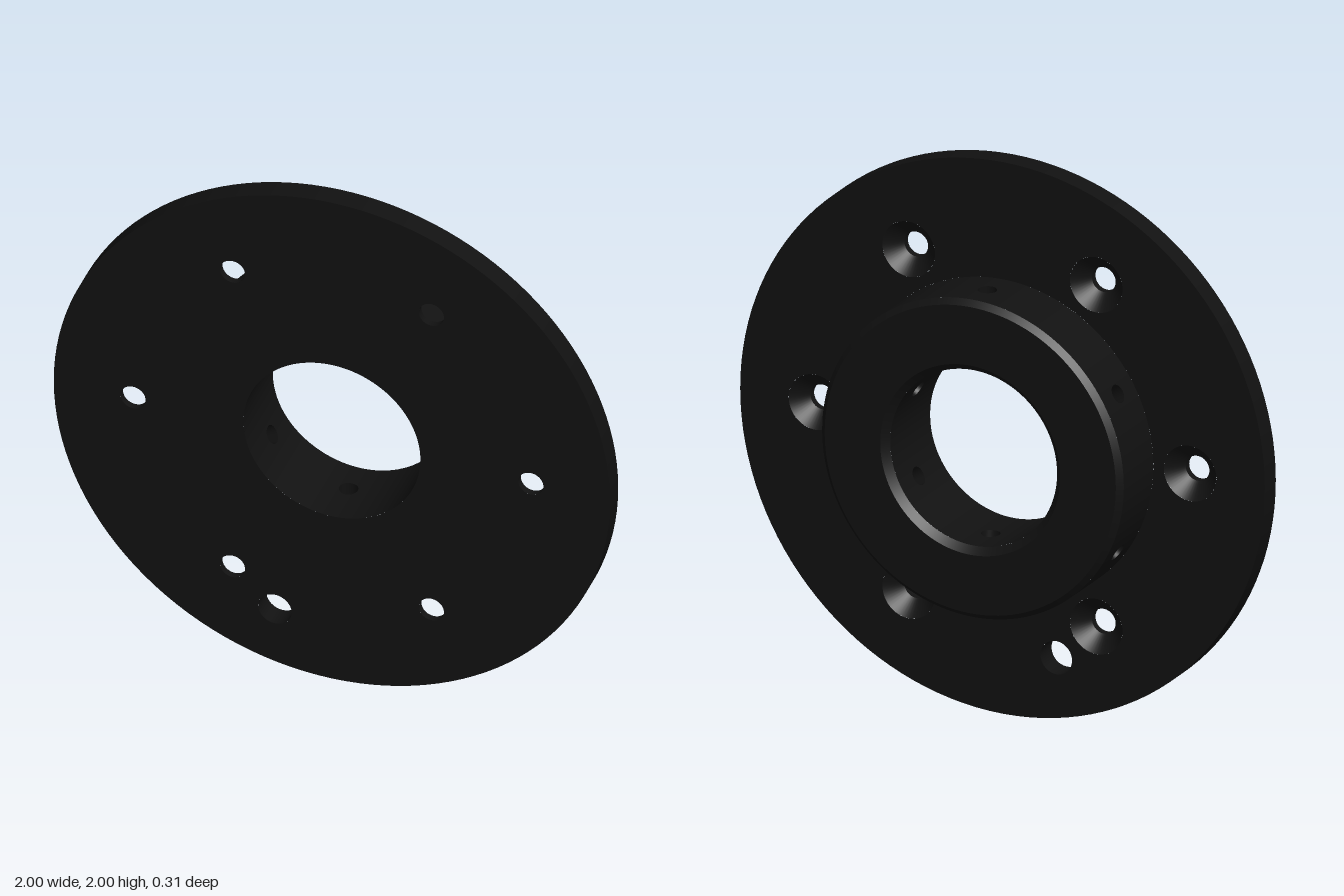
import * as THREE from 'three';
import { ParametricGeometry } from 'three/addons/geometries/ParametricGeometry.js';

const FRONT = 0.16, STEP = 0.08, BACK = -0.155;   // z levels of plate front, plate back, hub back
const PLATE_R = 1, HUB_R = 0.575, BORE_R = 0.318;
const BOLT_CIRCLE = 0.715, BOLT_R = 0.045, SINK_R = 0.1;
const PIN = { x: -0.205, y: -0.76, r: 0.06 };
const SCREW_R = 0.033, SCREW_Z_OUT = -0.03, SCREW_Z_IN = -0.005;
const CHAMFER = 0.02, BORE_CHAMFER = 0.025;

const material = new THREE.MeshStandardMaterial({ color: 0x111111 });

function add(parent, name, geometry, x = 0, y = 0) {
  const mesh = new THREE.Mesh(geometry, material);
  mesh.name = name;
  mesh.position.set(x, y, 0);
  parent.add(mesh);
  return mesh;
}

// Ring-shaped strip around the z axis between two (radius, z) points
function band(r0, z0, r1, z1, segments = 128) {
  const points = [new THREE.Vector2(r0, z0), new THREE.Vector2(r1, z1)];
  return new THREE.LatheGeometry(points, segments).rotateX(Math.PI / 2);
}

const boltAngles = Array.from({ length: 6 }, (_, i) => i * Math.PI / 3);
const screwAngles = boltAngles.map(a => a + Math.PI / 6);

// Flat face of the plate with its centre opening, bolt holes and pin hole
function plateFace(innerR, holeR, pinX) {
  const shape = new THREE.Shape().absarc(0, 0, PLATE_R, 0, Math.PI * 2);
  const hole = (x, y, r) =>
    shape.holes.push(new THREE.Path().absarc(x, y, r, 0, Math.PI * 2, true));
  hole(0, 0, innerR);
  for (const a of boltAngles) hole(BOLT_CIRCLE * Math.cos(a), BOLT_CIRCLE * Math.sin(a), holeR);
  hole(pinX, PIN.y, PIN.r);
  return new THREE.ShapeGeometry(shape, 64);
}

// Point on the rim of a screw hole, as angle offset and z on a cylinder
function screwRim(R, zc, t) {
  return [Math.asin(SCREW_R * Math.cos(t) / R), zc + SCREW_R * Math.sin(t)];
}

function onCylinder(target, R, angle, z) {
  return target.set(R * Math.cos(angle), R * Math.sin(angle), z);
}

// One sixth of a cylinder wall, pierced by a screw hole
function wallSector(R, zc, z0, z1, centre, outward) {
  return new ParametricGeometry((u, v, target) => {
    const t = (outward ? -u : u) * Math.PI * 2;
    const c = Math.cos(t), s = Math.sin(t), m = Math.max(Math.abs(c), Math.abs(s));
    const [a, z] = screwRim(R, zc, t);
    const edgeA = c / m * Math.PI / 6;
    const edgeZ = (z0 + z1) / 2 + s / m * (z1 - z0) / 2;
    onCylinder(target, R, centre + a + (edgeA - a) * v, z + (edgeZ - z) * v);
  }, 64, 8);
}

// Slightly tilted screw hole from the hub's outside to the bore
function screwTube(centre) {
  const outer = new THREE.Vector3(), inner = new THREE.Vector3();
  return new ParametricGeometry((u, v, target) => {
    const t = u * Math.PI * 2;
    const [ao, zo] = screwRim(HUB_R, SCREW_Z_OUT, t);
    const [ai, zi] = screwRim(BORE_R, SCREW_Z_IN, t);
    onCylinder(outer, HUB_R, centre + ao, zo);
    onCylinder(inner, BORE_R, centre + ai, zi);
    target.lerpVectors(outer, inner, v);
  }, 64, 1);
}

export function createModel() {
  const model = new THREE.Group();
  model.name = 'flange';

  // Round plate
  const plate = new THREE.Group();
  plate.name = 'plate';
  add(plate, 'plateFront', plateFace(BORE_R, BOLT_R, PIN.x).translate(0, 0, FRONT));
  add(plate, 'plateBack', plateFace(HUB_R, SINK_R, -PIN.x).rotateY(Math.PI).translate(0, 0, STEP));
  add(plate, 'plateRim', band(PLATE_R, STEP, PLATE_R, FRONT));

  // Countersunk bolt holes and plain pin hole
  const sinkZ = STEP + SINK_R - BOLT_R;
  for (const a of boltAngles) {
    const x = BOLT_CIRCLE * Math.cos(a), y = BOLT_CIRCLE * Math.sin(a);
    add(plate, 'boltHole', band(BOLT_R, FRONT, BOLT_R, sinkZ, 48), x, y);
    add(plate, 'countersink', band(BOLT_R, sinkZ, SINK_R, STEP, 48), x, y);
  }
  add(plate, 'pinHole', band(PIN.r, FRONT, PIN.r, STEP, 48), PIN.x, PIN.y);

  // Hub with chamfered edges
  const hub = new THREE.Group();
  hub.name = 'hub';
  const boreEdge = BORE_R + BORE_CHAMFER, hubEdge = HUB_R - CHAMFER;
  add(hub, 'boreChamfer', band(BORE_R, BACK + BORE_CHAMFER, boreEdge, BACK));
  add(hub, 'hubBack', band(boreEdge, BACK, hubEdge, BACK));
  add(hub, 'hubChamfer', band(hubEdge, BACK, HUB_R, BACK + CHAMFER));

  // Hub and bore walls with radial set screw holes
  for (const a of screwAngles) {
    add(hub, 'hubWall', wallSector(HUB_R, SCREW_Z_OUT, BACK + CHAMFER, STEP, a, true));
    add(hub, 'boreWall', wallSector(BORE_R, SCREW_Z_IN, BACK + BORE_CHAMFER, FRONT, a, false));
    add(hub, 'screwHole', screwTube(a));
  }

  model.add(plate, hub);
  plate.position.y = hub.position.y = 1;
  return model;
}
